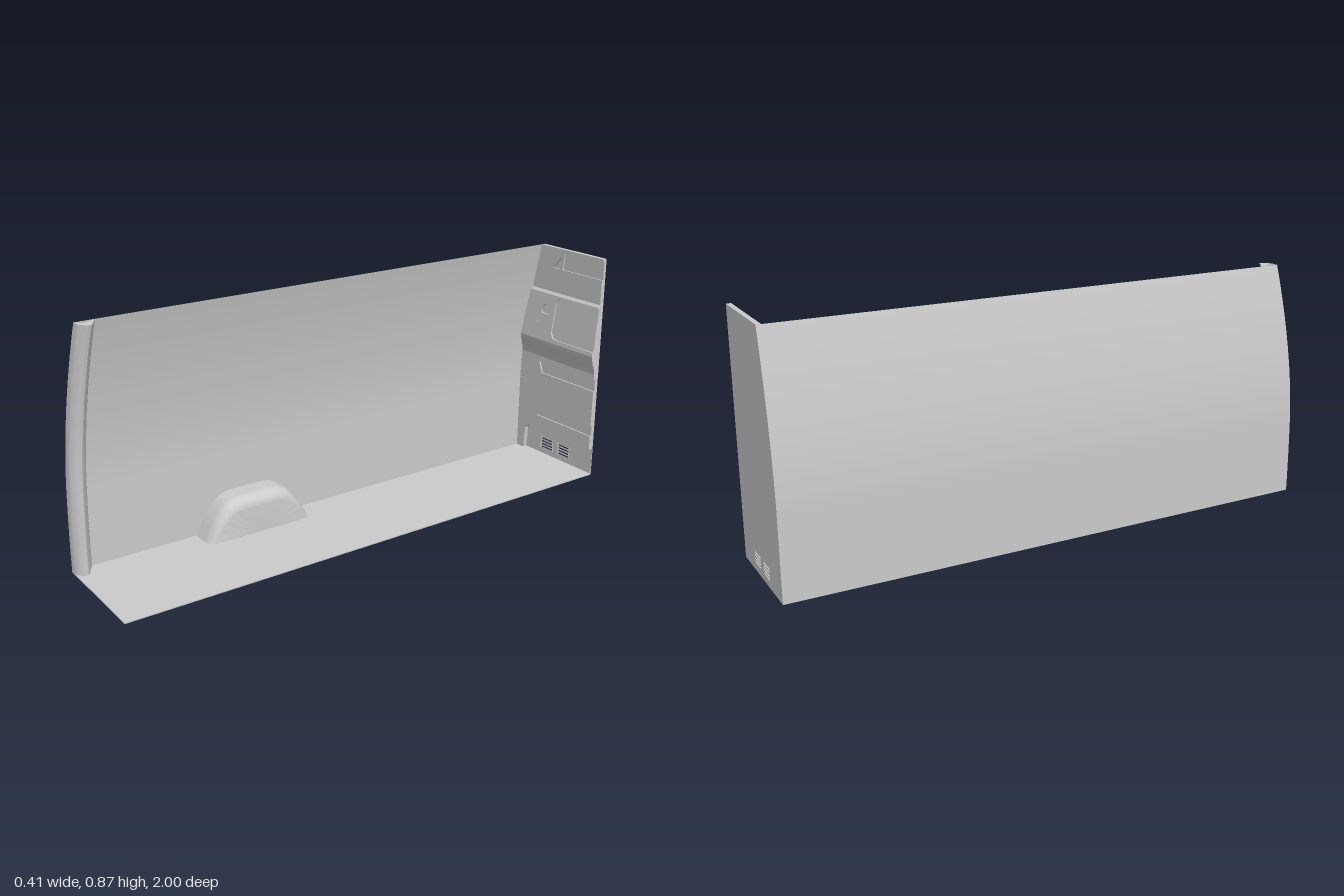
import * as THREE from 'three';
import { toCreasedNormals } from 'three/addons/utils/BufferGeometryUtils.js';

const H = 0.87, RIGHT = 0.203, BACK = -1;
const mat = new THREE.MeshStandardMaterial({ color: 0xcccccc, side: THREE.DoubleSide });

// side wall curve and the lean of its front edge
const wallX = y => -0.204 + (y > 0.3 ? 0.081 * ((y - 0.3) / 0.57) ** 1.7 : 0);
const frontZ = y => 1 - 0.045 * (y / H) ** 2;
const levels = (y0, y1, n) => Array.from({ length: n + 1 }, (_, i) => y0 + (y1 - y0) * i / n);

function add(group, geometry, name) {
  const mesh = new THREE.Mesh(geometry, mat);
  mesh.name = name;
  group.add(mesh);
  return mesh;
}

// skin through rows of [x, y, z] points
function loft(rows, crease = 0.6) {
  const n = rows[0].length, index = [];
  for (let i = 0; i < rows.length - 1; i++) for (let j = 0; j < n - 1; j++) {
    const a = i * n + j, b = a + n;
    index.push(a, a + 1, b, a + 1, b + 1, b);
  }
  const g = new THREE.BufferGeometry();
  g.setAttribute('position', new THREE.Float32BufferAttribute(rows.flat(2), 3));
  g.setIndex(index);
  return toCreasedNormals(g, crease);
}

// corner rounding for a closed loop or an open chain
function rounded(pts, r, closed = true) {
  const v = pts.map(p => new THREE.Vector2(...p)), out = [], n = v.length;
  v.forEach((p, i) => {
    if (!closed && (i === 0 || i === n - 1)) return out.push(p);
    const toward = q => p.clone().add(q.clone().sub(p).setLength(Math.min(r, q.distanceTo(p) * 0.45)));
    const curve = new THREE.QuadraticBezierCurve(toward(v[(i + n - 1) % n]), p, toward(v[(i + 1) % n]));
    out.push(...curve.getPoints(6));
  });
  return out;
}

// outline between two heights: wall curve on one side, notched straight edge on the other
function bandShape(y0, y1, notches = [], holes = []) {
  const shape = new THREE.Shape([
    new THREE.Vector2(RIGHT, y0), ...notches.flat(), new THREE.Vector2(RIGHT, y1),
    ...levels(y1, y0, Math.ceil((y1 - y0) / 0.03)).map(y => new THREE.Vector2(wallX(y) + 0.0005, y)),
  ]);
  shape.holes = holes.map(h => new THREE.Path(h));
  return shape;
}

// plate whose front runs from z0 at the bottom to z1 at the top
function slopedPlate(shape, y0, y1, z0, z1, depth) {
  const g = new THREE.ExtrudeGeometry(shape, { depth, bevelEnabled: false });
  const p = g.attributes.position;
  for (let i = 0; i < p.count; i++) {
    const front = z0 + (z1 - z0) * (p.getY(i) - y0) / (y1 - y0);
    p.setZ(i, Math.max(p.getZ(i) - depth + front, BACK + 0.002));
  }
  g.computeVertexNormals();
  return g;
}

function createBulkhead() {
  const group = new THREE.Group();
  group.name = 'bulkhead';

  // flat outer sheet with two sets of vent slots
  const slots = [];
  for (const x of [-0.083, 0.014]) for (let i = 0; i < 4; i++) {
    const y = 0.028 + i * 0.012;
    slots.push(rounded([[x + 0.006, y], [x + 0.066, y], [x + 0.069, y + 0.006], [x + 0.006, y + 0.006]], 0.002));
  }
  add(group, slopedPlate(bandShape(0, H, [], slots), 0, H, BACK + 0.004, BACK + 0.004, 0.004), 'bulkheadSheet')
    .position.z = -0.002;

  // thin rails at both ends of each vent
  for (const x of [-0.08, -0.012, 0.017, 0.08]) {
    add(group, new THREE.BoxGeometry(0.002, 0.05, 0.003), 'ventRail').position.set(x, 0.051, BACK + 0.0035);
  }

  // trim bands: y0, y1, z0, z1, notches open to the straight edge, closed recesses
  const notch = (pts, r) => rounded([[RIGHT, pts[0][1]], ...pts, [RIGHT, pts.at(-1)[1]]], r, false);
  const bands = [
    [0.11, 0.42, -0.979, -0.979,
      [notch([[-0.098, 0.167], [-0.076, 0.21]], 0.003), notch([[-0.08, 0.352], [-0.098, 0.398]], 0.003)], []],
    [0.42, 0.44, -0.979, -0.975, [], []],
    [0.44, 0.48, -0.975, -0.961, [], []],
    [0.48, 0.496, -0.961, -0.958, [], []],
    [0.496, 0.685, -0.958, -0.974, [notch([[-0.026, 0.512], [-0.014, 0.68]], 0.035)], [
      rounded([[-0.115, 0.503], [-0.03, 0.503], [-0.042, 0.54], [-0.039, 0.583], [-0.105, 0.583]], 0.012),
      rounded([[-0.092, 0.604], [-0.032, 0.604], [-0.034, 0.644], [-0.072, 0.644], [-0.088, 0.625]], 0.012)]],
    [0.685, 0.695, -0.974, -0.983, [], []],
    [0.695, H, -0.983, -0.983, [notch([[-0.005, 0.79], [0.006, 0.86]], 0.008)],
      [rounded([[-0.055, 0.79], [-0.016, 0.79], [-0.012, 0.84]], 0.004)]],
  ];
  const recess = 0.006;
  for (const [y0, y1, z0, z1, notches, holes] of bands) {
    add(group, slopedPlate(bandShape(y0, y1, notches, holes), y0, y1, z0, z1, recess), 'trimFace');
    add(group, slopedPlate(bandShape(y0, y1), y0, y1, z0 - recess, z1 - recess, 0.06), 'trimBacking');
  }

  // trim leg down to the floor beside the vent bay
  const leg = new THREE.Shape(rounded([[-0.203, 0], [-0.165, 0], [-0.16, 0.095], [-0.14, 0.11], [-0.203, 0.11]], 0.004));
  add(group, slopedPlate(leg, 0, 0.11, -0.979, -0.979, 0.018), 'trimLeg');
  return group;
}

function createWheelArch() {
  const zMid = 0.33;
  const arch = rounded([[0.21, 0], [0.165, 0.085], [0.11, 0.146], [-0.11, 0.146], [-0.165, 0.085], [-0.21, 0]], 0.06, false);
  const row = (x, sz, sy) => arch.map(p => [x, p.y * sy, zMid + p.x * sz]);
  const rows = [row(-0.204, 1, 1)];
  // rounded shoulder into a flat inner face
  for (let i = 0; i <= 10; i++) {
    const a = i / 10 * Math.PI / 2, inset = 1 - Math.cos(a);
    rows.push(row(-0.15 + 0.046 * Math.sin(a), 1 - 0.12 * inset, 1 - 0.27 * inset));
  }
  rows.push(arch.map(() => [-0.104, 0, zMid]));
  return loft(rows, 0.7);
}

export function createModel() {
  const model = new THREE.Group();
  model.name = 'cargoBayHalf';

  // floor
  add(model, new THREE.BoxGeometry(RIGHT + 0.204, 0.004, 2), 'floor').position.set((RIGHT - 0.204) / 2, 0.002, 0);

  // curved side wall
  const ys = levels(0, H, 40);
  add(model, loft(ys.map(y => [[wallX(y), y, BACK], [wallX(y), y, frontZ(y)]])), 'sideWall');

  // leaning pillar at the open end, following the wall curve
  const section = [[0, -0.07], [0.054, -0.038], [0.057, -0.034], [0.057, -0.024], [0.052, -0.016], [0.034, -0.002], [0.028, 0], [0, 0]];
  const pillar = ys.map(y => section.map(([dx, dz]) => [wallX(y) + dx, y, frontZ(y) + dz]));
  add(model, loft(pillar, 0.5), 'doorPillar');
  const top = pillar.at(-1);
  add(model, loft([top, top.map(() => [wallX(H) + 0.02, H, frontZ(H) - 0.025])]), 'doorPillarCap');

  add(model, createWheelArch(), 'wheelArch');
  model.add(createBulkhead());
  return model;
}
